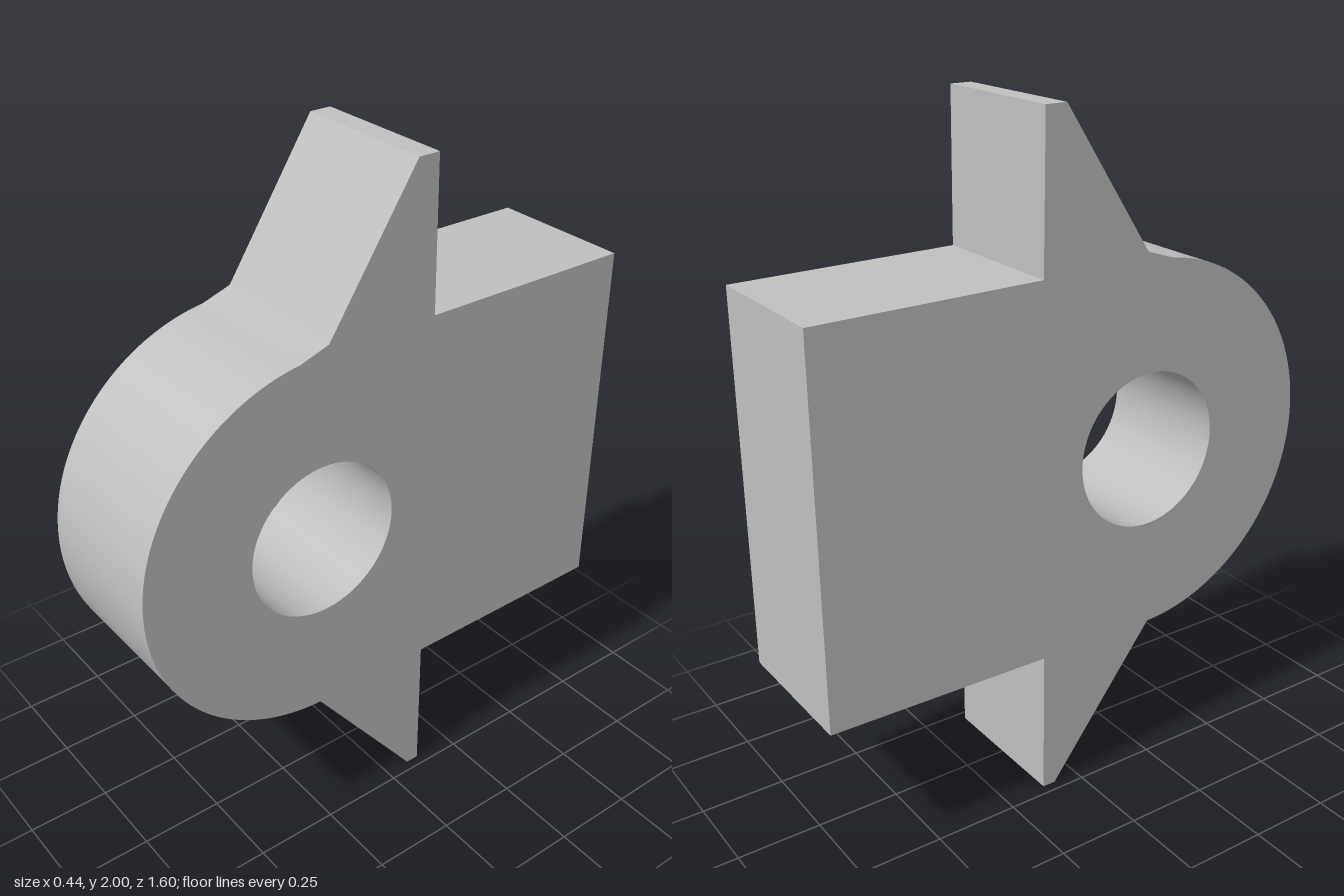
import * as THREE from 'three';
import { toCreasedNormals } from 'three/addons/utils/BufferGeometryUtils.js';

const WIDTH = 0.44;

export function createModel() {
  const group = new THREE.Group();
  group.name = 'bracket';
  const grey = new THREE.MeshStandardMaterial({ color: 0xc0c0c0 });
  grey.name = 'plain grey';

  // Side profile: shape x becomes model z
  const profile = new THREE.Shape();
  profile.moveTo(-0.8, 0.447);
  profile.lineTo(-0.12, 0.442);
  profile.lineTo(-0.12, 0); // lower fin
  profile.lineTo(-0.08, 0);
  profile.lineTo(0.26, 0.442);
  // rounded nose
  profile.absarc(0.242, 1, 0.558, -Math.PI / 2 + 0.035, Math.PI / 2 - 0.12, false);
  profile.lineTo(0.22, 1.583); // upper fin
  profile.lineTo(-0.055, 2);
  profile.lineTo(-0.12, 2);
  profile.lineTo(-0.124, 1.56);
  profile.lineTo(-0.8, 1.555);
  profile.closePath();

  // Pivot hole through the nose
  const hole = new THREE.Path();
  hole.absarc(0.241, 1.003, 0.233, 0, Math.PI * 2, true);
  profile.holes.push(hole);

  // Extrude across the width, then turn the profile to face sideways
  const extruded = new THREE.ExtrudeGeometry(profile, {
    depth: WIDTH, bevelEnabled: false, curveSegments: 40,
  });
  extruded.translate(0, 0, -WIDTH / 2);
  extruded.rotateY(-Math.PI / 2);

  const body = new THREE.Mesh(toCreasedNormals(extruded, 0.6), grey);
  body.name = 'finnedBody';
  group.add(body);
  return group;
}
